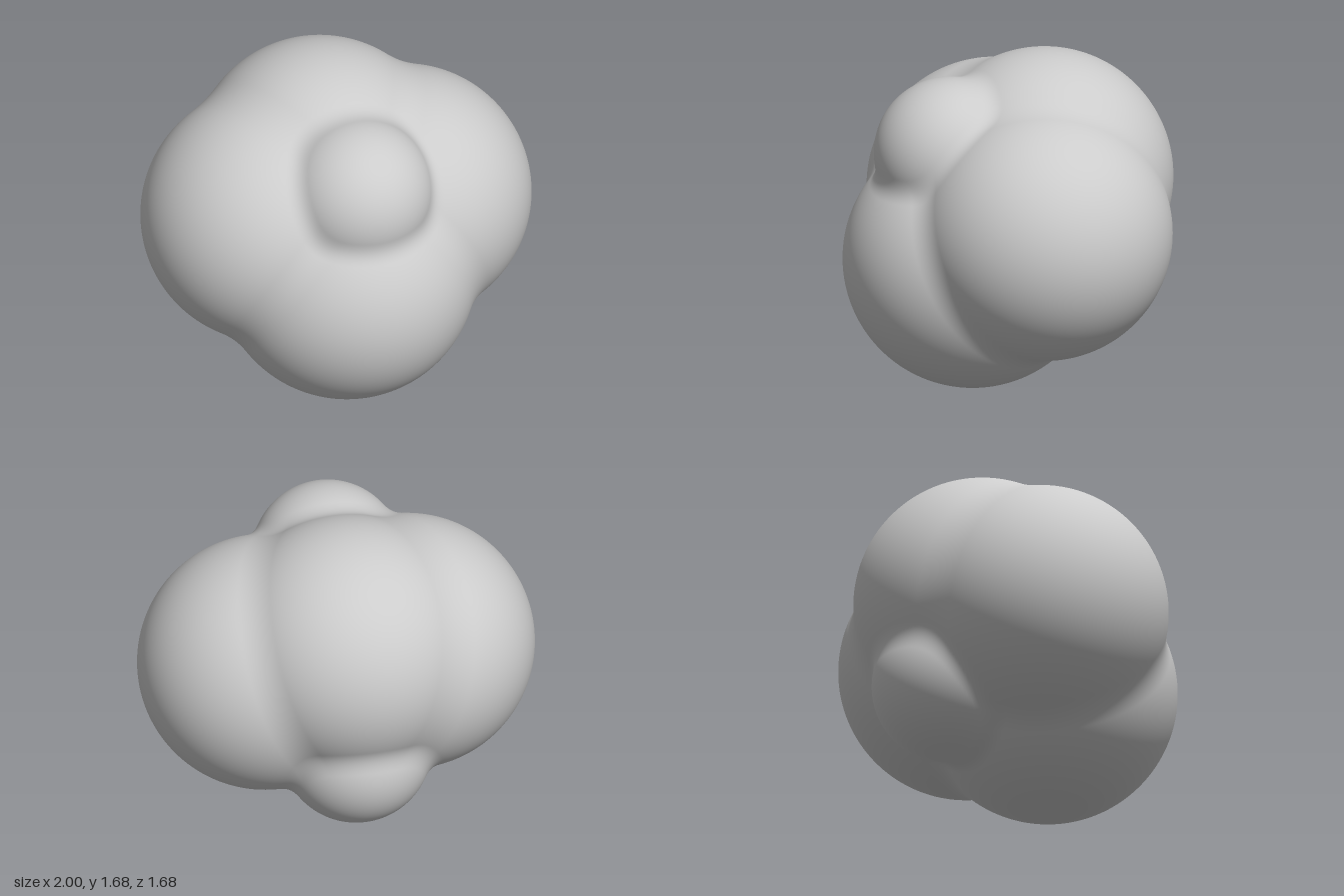
import * as THREE from 'three';
import { mergeVertices } from 'three/addons/utils/BufferGeometryUtils.js';

// Lobes of the fused body: x, y, z, radius
const LOBES = [
  [-0.03, 0.65, 0.19, 0.65],   // front lower lobe
  [-0.035, 1.04, -0.195, 0.645], // back upper lobe
  [0.36, 0.87, -0.05, 0.64],   // left lobe
  [-0.36, 0.91, -0.05, 0.64],  // right lobe
  [-0.02, 1.22, 0.315, 0.38],  // small front upper knob
  [-0.04, 0.545, -0.4, 0.38],  // small back lower knob
];
const BLEND = 0.06; // softness of the creases between lobes
const CENTRE = new THREE.Vector3(-0.03, 0.85, 0);

function smoothMin(a, b) {
  const h = Math.max(BLEND - Math.abs(a - b), 0) / BLEND;
  return Math.min(a, b) - h * h * BLEND / 4;
}

// Signed distance to the softly joined lobes
function field(x, y, z) {
  let d = Infinity;
  for (const [cx, cy, cz, r] of LOBES) {
    const e = Math.hypot(x - cx, y - cy, z - cz) - r;
    d = d === Infinity ? e : smoothMin(d, e);
  }
  return d;
}

// Fine sphere whose vertices are drawn inward until they rest on the lobes
function lobedGeometry() {
  let geometry = new THREE.IcosahedronGeometry(1, 72);
  geometry.deleteAttribute('uv');
  geometry.deleteAttribute('normal');
  geometry = mergeVertices(geometry, 1e-5);
  const position = geometry.attributes.position;
  const normals = new Float32Array(position.count * 3);
  const dir = new THREE.Vector3(), p = new THREE.Vector3(), n = new THREE.Vector3();
  const e = 0.001;
  for (let i = 0; i < position.count; i++) {
    dir.fromBufferAttribute(position, i).normalize();
    let t = 1.6;
    for (let step = 0; step < 80; step++) {
      p.copy(CENTRE).addScaledVector(dir, t);
      const d = field(p.x, p.y, p.z);
      if (d < 1e-5) break;
      t -= d;
    }
    position.setXYZ(i, p.x, p.y, p.z);
    // Normal from the slope of the field
    n.set(
      field(p.x + e, p.y, p.z) - field(p.x - e, p.y, p.z),
      field(p.x, p.y + e, p.z) - field(p.x, p.y - e, p.z),
      field(p.x, p.y, p.z + e) - field(p.x, p.y, p.z - e),
    ).normalize().toArray(normals, i * 3);
  }
  geometry.setAttribute('normal', new THREE.BufferAttribute(normals, 3));
  return geometry;
}

export function createModel() {
  const group = new THREE.Group();
  group.name = 'lobedCluster';
  const body = new THREE.Mesh(lobedGeometry(), new THREE.MeshStandardMaterial({ color: 0xcccccc }));
  body.name = 'fusedLobes';
  group.add(body);
  return group;
}
